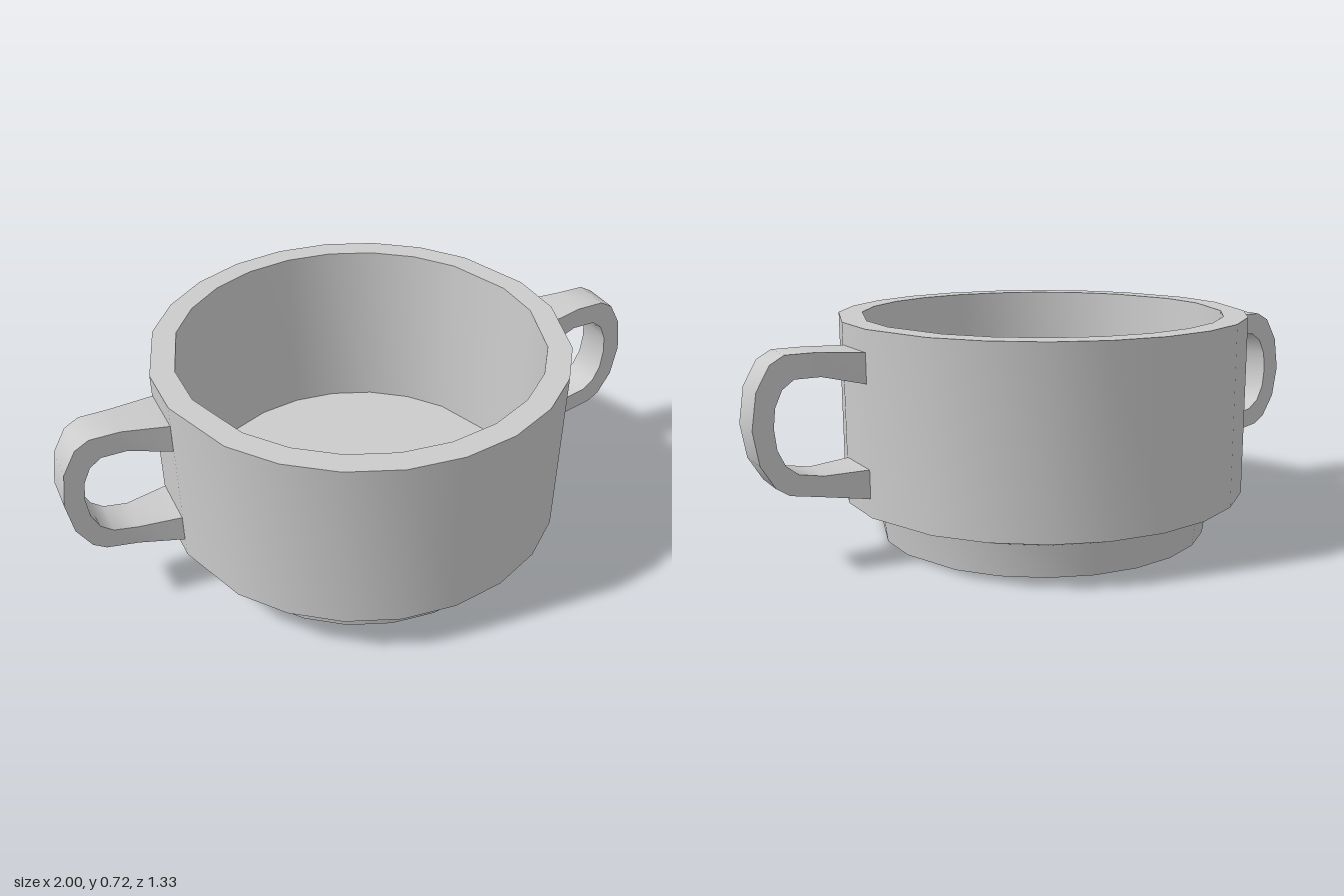
import * as THREE from 'three';
import { toCreasedNormals } from 'three/addons/utils/BufferGeometryUtils.js';

const material = new THREE.MeshStandardMaterial({ color: 0xcccccc });

// Bowl: lathe of 22 sides, turned into a 15-degree outline with a flat pad at each handle
function bowlGeometry() {
  const profile = [
    [0, 0], [0.545, 0], [0.558, 0.105], [0.667, 0.145], [0.667, 0.72],
    [0.59, 0.72], [0.56, 0.13], [0, 0.13],
  ].map(([r, y]) => new THREE.Vector2(r, y));
  const half = [0, 15, 30, 45, 60, 82, 98, 120, 135, 150, 165];
  const angles = [...half, ...half.map(a => a + 180), 360];
  const geo = new THREE.LatheGeometry(profile, 22);
  const pos = geo.attributes.position;
  for (let i = 0; i < pos.count; i++) {
    const p = profile[i % profile.length];
    const a = THREE.MathUtils.degToRad(angles[Math.floor(i / profile.length)] % 360);
    pos.setXYZ(i, p.x * Math.sin(a), p.y, p.x * Math.cos(a));
  }
  return toCreasedNormals(geo, 0.6);
}

// Handle: rectangular cross-sections from the upper root round to the lower root
function handleGeometry() {
  // outer x, outer y, inner x, inner y, half width
  const sections = [
    [0.655, 0.65, 0.655, 0.555, 0.088],
    [0.8, 0.66, 0.79, 0.587, 0.063],
    [0.895, 0.66, 0.87, 0.587, 0.062],
    [0.94, 0.635, 0.907, 0.56, 0.062],
    [0.983, 0.56, 0.93, 0.51, 0.062],
    [1.0, 0.45, 0.937, 0.45, 0.062],
    [0.983, 0.345, 0.93, 0.385, 0.062],
    [0.94, 0.272, 0.907, 0.335, 0.062],
    [0.9, 0.245, 0.87, 0.305, 0.062],
    [0.8, 0.226, 0.795, 0.29, 0.063],
    [0.655, 0.203, 0.655, 0.295, 0.088],
  ];
  const points = [], index = [];
  sections.forEach(([ox, oy, ix, iy, w], s) => {
    points.push(ox, oy, w, ox, oy, -w, ix, iy, -w, ix, iy, w);
    if (s === 0) return;
    for (let k = 0; k < 4; k++) {
      const a = (s - 1) * 4 + k, b = (s - 1) * 4 + (k + 1) % 4;
      index.push(a, a + 4, b, b, a + 4, b + 4);
    }
  });
  const geo = new THREE.BufferGeometry();
  geo.setAttribute('position', new THREE.Float32BufferAttribute(points, 3));
  geo.setIndex(index);
  return toCreasedNormals(geo, 0.65);
}

export function createModel() {
  const model = new THREE.Group();
  model.name = 'twoHandledBowl';

  const bowl = new THREE.Mesh(bowlGeometry(), material);
  bowl.name = 'bowl';
  model.add(bowl);

  const geo = handleGeometry();
  ['leftHandle', 'rightHandle'].forEach((name, i) => {
    const handle = new THREE.Mesh(geo, material);
    handle.name = name;
    handle.rotation.y = i * Math.PI;
    model.add(handle);
  });
  return model;
}
